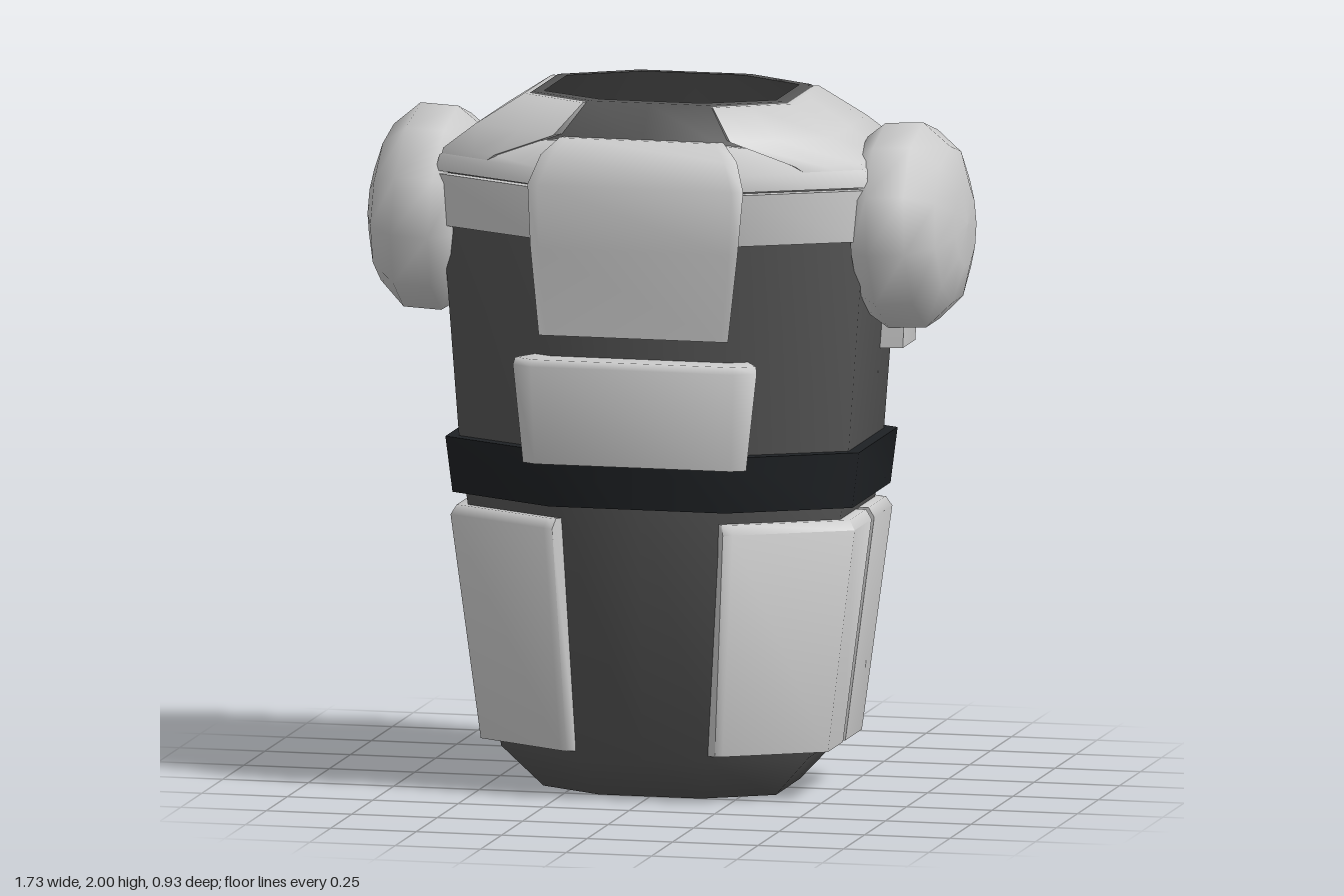
import * as THREE from 'three';
import { toCreasedNormals } from 'three/addons/utils/BufferGeometryUtils.js';

const grey = new THREE.MeshStandardMaterial({ color: 0xcccccc });
const dark = new THREE.MeshStandardMaterial({ color: 0x555555 });
const black = new THREE.MeshStandardMaterial({ color: 0x1e2124 });

// Torso profile: height, half width, front z, back z
const PROFILE = [
  [0, 0.34, 0.25, -0.27], [0.12, 0.45, 0.35, -0.345], [0.85, 0.55, 0.37, -0.385],
  [1.01, 0.57, 0.375, -0.39], [1.62, 0.615, 0.39, -0.41], [1.76, 0.61, 0.39, -0.4],
  [1.83, 0.59, 0.375, -0.375], [1.9, 0.5, 0.34, -0.345], [2, 0.37, 0.27, -0.29],
];

// Point on an octagonal section; u runs 0..10 round it, front centre = 0, +x side = 2..3, back centre = 5
function octagon(y, w, zf, zb, u) {
  u = ((u % 10) + 10) % 10;
  const side = u > 5 ? -1 : 1;
  if (u > 5) u = 10 - u;
  const c = 0.44 * w, s = 0.55;
  const k = [[0, zf], [c, zf], [w, s * zf], [w, s * zb], [c, zb], [0, zb]];
  const i = Math.min(4, Math.floor(u)), t = u - i;
  return new THREE.Vector3(
    side * THREE.MathUtils.lerp(k[i][0], k[i + 1][0], t), y,
    THREE.MathUtils.lerp(k[i][1], k[i + 1][1], t));
}

// Point at height y on the torso, pushed outwards by offX and offZ
function onTorso(y, u, offX, offZ) {
  let i = 0;
  while (i < PROFILE.length - 2 && y > PROFILE[i + 1][0]) i++;
  const a = PROFILE[i], b = PROFILE[i + 1], t = (y - a[0]) / (b[0] - a[0]);
  const [w, zf, zb] = [1, 2, 3].map((n) => THREE.MathUtils.lerp(a[n], b[n], t));
  return octagon(y, w + offX, zf + offZ, zb - offZ, u);
}

// Skin over rows of points (top to bottom, left to right seen from outside);
// a base grid adds side walls that run down to it
function skin(rows, base) {
  const pos = [];
  const quad = (a, b, c, d) => [a, b, c, a, c, d].forEach((p) => pos.push(p.x, p.y, p.z));
  const m = rows.length - 1, n = rows[0].length - 1;
  for (let i = 0; i < m; i++) for (let j = 0; j < n; j++) {
    quad(rows[i][j], rows[i + 1][j], rows[i + 1][j + 1], rows[i][j + 1]);
  }
  if (base) {
    for (let j = 0; j < n; j++) {
      quad(rows[0][j], rows[0][j + 1], base[0][j + 1], base[0][j]);
      quad(rows[m][j + 1], rows[m][j], base[m][j], base[m][j + 1]);
    }
    for (let i = 0; i < m; i++) {
      quad(rows[i + 1][0], rows[i][0], base[i][0], base[i + 1][0]);
      quad(rows[i][n], rows[i + 1][n], base[i + 1][n], base[i][n]);
    }
  }
  const g = new THREE.BufferGeometry();
  g.setAttribute('position', new THREE.Float32BufferAttribute(pos, 3));
  return toCreasedNormals(g, 1.2);
}

export function createModel() {
  const model = new THREE.Group();
  const add = (name, geometry, material) => {
    const mesh = new THREE.Mesh(geometry, material);
    mesh.name = name;
    model.add(mesh);
    return mesh;
  };
  // Plate rows: [height (or one per column), offset, columns u, offset along z if different]
  const plate = (name, rows, material = grey) => {
    const grid = (lift) => rows.map(([y, off, us, offZ = off]) => us.map((u, j) =>
      onTorso(Array.isArray(y) ? y[j] : y, u, off * lift, offZ * lift)));
    add(name, skin(grid(1), grid(-0.05)), material);
  };
  const platePair = (name, rows) => {
    plate(name + 'Left', rows);
    plate(name + 'Right', rows.map(([y, off, us, offZ]) => [
      Array.isArray(y) ? [...y].reverse() : y, off, us.map((u) => 10 - u).reverse(), offZ]));
  };
  const around = Array.from({ length: 11 }, (_, i) => i);

  // Hollow torso: lining from hem to neck, over the rim and down the outside to the hem
  const lining = PROFILE.map(([y, w, zf, zb]) => [y, w - 0.03, zf - 0.035, zb + 0.025]);
  const rings = [...lining, ...[...PROFILE].reverse(), lining[0]];
  add('torso', skin(rings.map((r) => around.map((u) => octagon(...r, u)))), dark);

  plate('belt', [[1.01, 0.035, around], [0.85, 0.035, around]], black);

  // Chest and abdomen
  plate('chestPlate', [
    [1.905, 0.02, [-1.05, -0.95, 0.95, 1.05]],
    [1.86, 0.04, [-1.08, -0.97, 0.97, 1.08]],
    [1.78, 0.054, [-1.07, -0.98, 0.98, 1.07]],
    [1.6, 0.058, [-1.02, -0.94, 0.94, 1.02]],
    [1.35, 0.067, [-0.95, -0.87, 0.87, 0.95]],
  ]);
  const belly = [-1.16, -1, 1, 1.16], bellyBottom = [-1.11, -1, 1, 1.11];
  plate('abdomenPlate', [[1.28, 0.075, belly], [1.26, 0.085, belly], [0.98, 0.085, bellyBottom]]);

  // Collarbone plates, parted by a narrow slit
  const wing = [0.95, 1, 2, 2.3];
  platePair('upperCollarPlate', [
    [[1.9, 1.9, 1.85, 1.85], 0.018, wing], [1.82, 0.03, wing], [1.775, 0.028, wing]]);
  platePair('lowerCollarPlate', [[1.767, 0.028, wing], [1.62, 0.025, wing]]);

  // Straps over the shoulders
  platePair('shoulderStrap', [
    [1.995, 0.015, [1.08, 1.5, 2, 2.5, 3, 3.03]],
    [1.91, 0.035, [1.1, 1.5, 2, 2.5, 3, 3.45]],
    [1.84, 0.035, [1.5, 1.7, 2, 2.5, 3, 3.55]],
    [1.78, 0.022, [1.7, 1.8, 2, 2.5, 3, 3.5]],
  ]);

  // Back plate with a scooped neckline, and the waist plate below it
  const back = [2.7, 3, 3.5, 4, 4.4, 5.6, 6, 6.5, 7, 7.3];
  plate('backPlate', [
    [[1.78, 1.83, 1.82, 1.71, 1.64, 1.64, 1.71, 1.82, 1.83, 1.78], 0.03,
      [2.9, 3, 3.4, 4, 4.4, 5.6, 6, 6.6, 7, 7.1]],
    [[1.72, 1.74, 1.74, 1.66, 1.6, 1.6, 1.66, 1.74, 1.74, 1.72], 0.047,
      [2.85, 3, 3.45, 4, 4.4, 5.6, 6, 6.55, 7, 7.15]],
    [1.5, 0.053, back], [1.26, 0.064, back],
  ]);
  const waist = [3.36, 4, 6, 6.64];
  plate('backWaistPlate', [[1.25, 0.044, waist], [1.01, 0.048, waist]]);

  // Skirt plates wrapping the four lower corners
  const frontSkirt = [0.96, 1.05, 2, 2.45], backSkirt = [2.52, 3, 4, 4.08];
  platePair('frontSkirtPlate', [
    [0.812, 0.03, frontSkirt, 0.015],
    [0.785, 0.05, frontSkirt, 0.033],
    [0.14, 0.055, [0.97, 1.05, 2, 2.45], 0.013],
  ]);
  platePair('backSkirtPlate', [
    [0.812, 0.03, backSkirt, 0.012],
    [0.785, 0.05, backSkirt, 0.032],
    [0.14, 0.055, [2.52, 3, 4, 4.04], 0.025],
  ]);
  const tail = [4.27, 5, 5.73];
  plate('tailPlate', [[0.86, 0.04, tail], [0.82, 0.052, tail], [0.43, 0.05, tail]]);

  // Domed shoulder guards, tops leaning slightly inwards
  const dome = [[0, 0.575], [0.2, 0.572], [0.255, 0.585], [0.294, 0.64], [0.294, 0.75],
    [0.225, 0.825], [0.12, 0.86], [0, 0.866]].map((p) => new THREE.Vector2(...p));
  const guard = new THREE.LatheGeometry(dome, 11, -Math.PI / 2).rotateZ(-Math.PI / 2)
    .translate(-0.7, 0, 0).rotateZ(0.05).translate(0.7, 0, 0).scale(1, 1, 1.03);
  for (const [name, turn] of [['shoulderGuardLeft', 0], ['shoulderGuardRight', Math.PI]]) {
    const mesh = add(name, guard, grey);
    mesh.rotation.y = turn;
    mesh.position.set(0, 1.632, -0.01);
  }
  return model;
}
